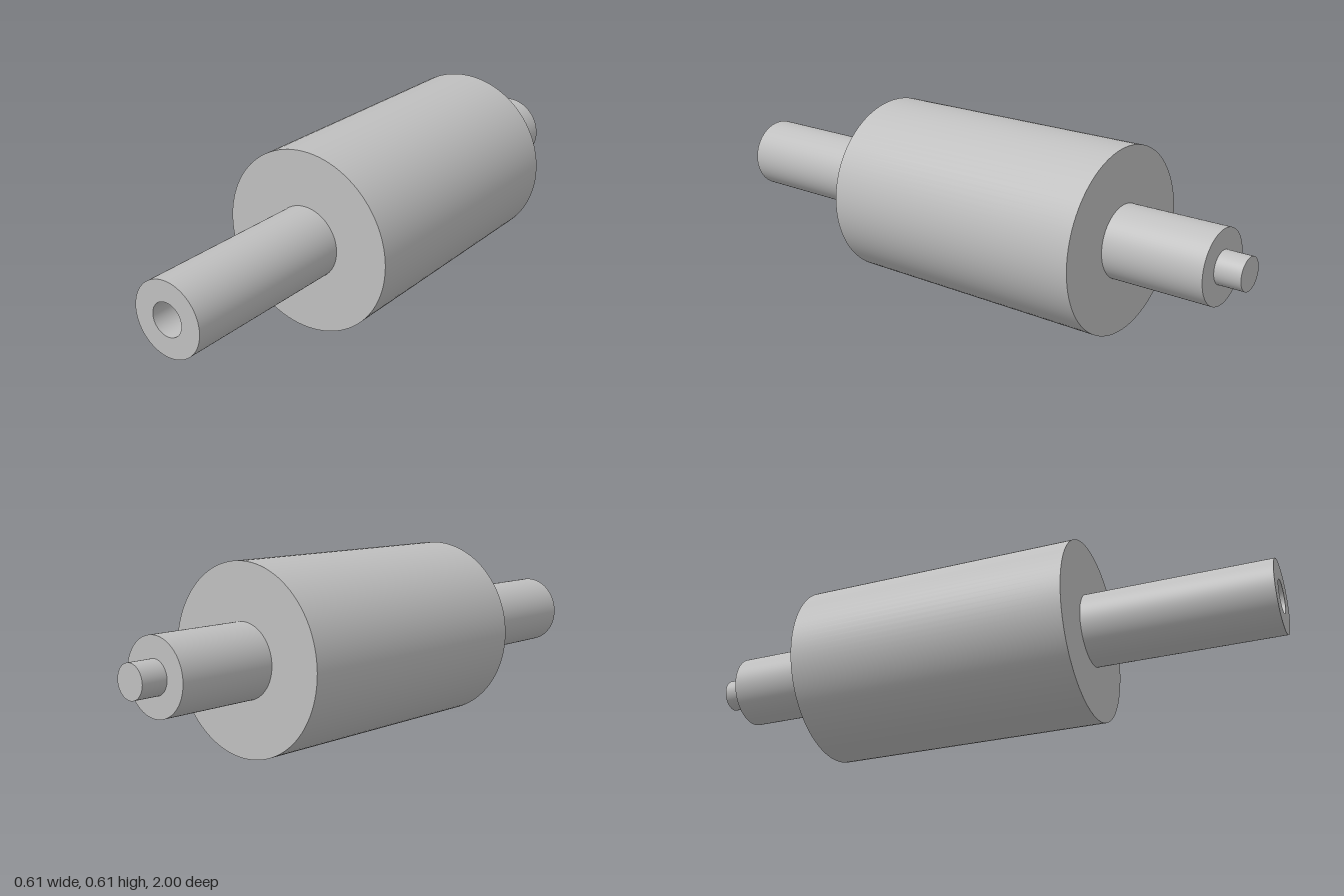
import * as THREE from 'three';

const AXIS_Y = 0.304;
const BODY_R = 0.304, SHAFT_R = 0.121, PIN_R = 0.054;

const grey = new THREE.MeshStandardMaterial({ color: 0xbfbfbf });
grey.name = 'grey';

// Turned part along z: each [radius, z] span is its own lathe, so edges stay sharp
function turned(name, profile) {
  const part = new THREE.Group();
  part.name = name;
  for (let i = 0; i < profile.length - 1; i++) {
    const span = [profile[i], profile[i + 1]].map(([r, z]) => new THREE.Vector2(r, z));
    const geometry = new THREE.LatheGeometry(span, 96);
    geometry.rotateX(Math.PI / 2);
    const mesh = new THREE.Mesh(geometry, grey);
    mesh.name = name + 'Surface' + (i + 1);
    part.add(mesh);
  }
  return part;
}

export function createModel() {
  const model = new THREE.Group();
  model.name = 'roller';

  // Locating pin at the back end
  model.add(turned('pin', [[0, -1], [PIN_R, -1], [PIN_R, -0.913]]));

  // Rear shaft with its shoulder around the pin
  model.add(turned('rearShaft', [[PIN_R, -0.913], [SHAFT_R, -0.913], [SHAFT_R, -0.57]]));

  // Large drum with annular end faces
  model.add(turned('drum', [[SHAFT_R, -0.57], [BODY_R, -0.57], [BODY_R, 0.385], [SHAFT_R, 0.385]]));

  // Front shaft with a blind socket matching the pin
  model.add(turned('frontShaft', [[SHAFT_R, 0.385], [SHAFT_R, 1], [PIN_R, 1]]));
  model.add(turned('socket', [[PIN_R, 1], [PIN_R, 0.91], [0, 0.91]]));

  model.children.forEach((part) => { part.position.y = AXIS_Y; });
  return model;
}
